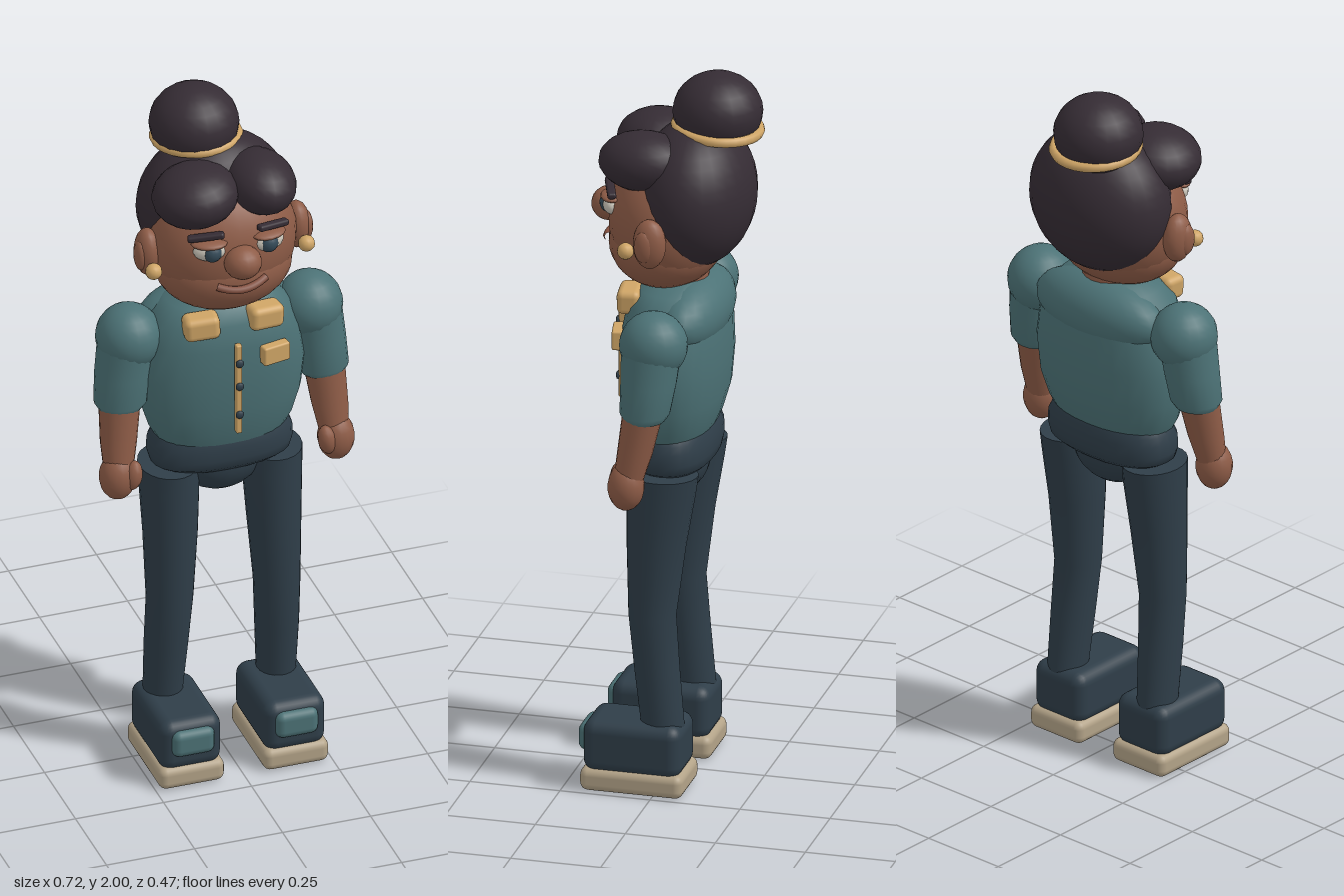
import * as THREE from 'three';
import { RoundedBoxGeometry } from 'three/addons/geometries/RoundedBoxGeometry.js';

const material = (name, color) => {
  const m = new THREE.MeshStandardMaterial({ color });
  m.name = name;
  return m;
};

// Closed smooth body through ascending superellipse rings [y, cx, cz, rx, rz], with flat caps
function loft(rings, n = 2, seg = 24) {
  const pos = [], index = [];
  const addRing = ([y, cx, cz, rx, rz]) => {
    const start = pos.length / 3;
    for (let i = 0; i < seg; i++) {
      const a = (i / seg) * Math.PI * 2, c = Math.cos(a), s = Math.sin(a);
      pos.push(cx + rx * Math.sign(c) * Math.abs(c) ** (2 / n), y, cz + rz * Math.sign(s) * Math.abs(s) ** (2 / n));
    }
    return start;
  };
  const starts = rings.map(addRing);
  for (let r = 0; r + 1 < starts.length; r++) {
    for (let i = 0; i < seg; i++) {
      const j = (i + 1) % seg, a = starts[r], b = starts[r + 1];
      index.push(a + i, b + i, a + j, b + i, b + j, a + j);
    }
  }
  for (const [ring, top] of [[rings[0], false], [rings[rings.length - 1], true]]) {
    const s = addRing(ring), centre = pos.length / 3;
    pos.push(ring[1], ring[0], ring[2]);
    for (let i = 0; i < seg; i++) {
      const j = (i + 1) % seg;
      if (top) index.push(centre, s + j, s + i);
      else index.push(centre, s + i, s + j);
    }
  }
  const g = new THREE.BufferGeometry();
  g.setAttribute('position', new THREE.Float32BufferAttribute(pos, 3));
  g.setIndex(index);
  g.computeVertexNormals();
  return g;
}

export function createModel() {
  const group = new THREE.Group();
  group.name = 'standingFigure';

  const skin = material('skin', 0x8e5c47);
  const lip = material('lip', 0x834f3e);
  const hair = material('hair', 0x352c34);
  const shirt = material('teal shirt', 0x4c7276);
  const navy = material('navy cloth', 0x2f3e49);
  const gold = material('gold', 0xcfa566);
  const rubber = material('sole rubber', 0xb3a388);
  const eyeWhite = material('eye white', 0xc9c4b8);
  const iris = material('iris', 0x344a58);

  const add = (name, geo, mat, p = [0, 0, 0], rot = [0, 0, 0]) => {
    const m = new THREE.Mesh(geo, mat);
    m.name = name;
    m.position.set(...p);
    m.rotation.set(...rot);
    group.add(m);
    return m;
  };
  const ball = (name, mat, p, r, rot, seg = 20) => {
    const m = add(name, new THREE.SphereGeometry(1, seg, Math.round(seg * 0.7)), mat, p, rot);
    m.scale.set(...r);
    return m;
  };
  const box = (name, mat, size, p, radius, rot) =>
    add(name, new RoundedBoxGeometry(...size, 3, radius), mat, p, rot);

  // Head and neck
  ball('head', skin, [0, 1.6, 0.01], [0.205, 0.2, 0.165], undefined, 28);
  ball('jaw', skin, [0, 1.53, 0.02], [0.19, 0.13, 0.155], undefined, 28);
  add('neck', new THREE.CylinderGeometry(0.08, 0.09, 0.1, 20), skin, [0, 1.42, -0.01]);
  ball('nose', skin, [0, 1.61, 0.18], [0.052, 0.047, 0.05], undefined, 16);
  const mouth = new THREE.QuadraticBezierCurve3(
    new THREE.Vector3(-0.068, 1.538, 0.166),
    new THREE.Vector3(0, 1.512, 0.2),
    new THREE.Vector3(0.07, 1.541, 0.164));
  add('mouth', new THREE.TubeGeometry(mouth, 14, 0.011, 8), lip);

  // Hair: back cap, fringe lumps and bun with a gold band
  ball('hairBack', hair, [0, 1.67, -0.06], [0.213, 0.205, 0.162], undefined, 28);
  ball('fringeRight', hair, [-0.095, 1.775, 0.065], [0.118, 0.082, 0.118], [0, 0, 0.12]);
  ball('fringeLeft', hair, [0.09, 1.778, 0.06], [0.096, 0.08, 0.125], [0, 0, -0.12]);
  ball('bun', hair, [-0.037, 1.893, -0.11], [0.122, 0.107, 0.122]);
  add('bunBand', new THREE.TorusGeometry(0.113, 0.014, 8, 28), gold, [-0.03, 1.85, -0.112], [Math.PI / 2 - 0.08, 0, 0]);

  // Shirt body with a back yoke
  add('shirtBody', loft([
    [0.99, 0, -0.005, 0.18, 0.1], [1.03, 0, -0.007, 0.202, 0.115], [1.1, 0, -0.01, 0.224, 0.132],
    [1.2, 0, -0.01, 0.235, 0.14], [1.3, 0, -0.01, 0.22, 0.138], [1.37, 0, -0.01, 0.19, 0.125],
    [1.41, 0, -0.015, 0.15, 0.1], [1.43, 0, -0.02, 0.09, 0.065],
  ], 2.3, 28), shirt);
  ball('shirtYoke', shirt, [0, 1.335, -0.06], [0.215, 0.1, 0.095], undefined, 24);

  // Placket, buttons and pocket
  box('placket', gold, [0.017, 0.275, 0.02], [0, 1.192, 0.144], 0.004);
  for (const y of [1.275, 1.203, 1.115]) ball('button', navy, [0, y, 0.156], [0.012, 0.012, 0.007], undefined, 10);
  box('pocket', gold, [0.08, 0.055, 0.03], [0.11, 1.273, 0.127], 0.006, [0, 0.2, 0]);

  // Trouser waist and crotch
  add('waistband', loft([
    [0.9, 0, -0.01, 0.17, 0.09], [0.915, 0, -0.01, 0.195, 0.105], [0.94, 0, -0.01, 0.202, 0.11],
    [0.975, 0, -0.01, 0.2, 0.11], [0.995, 0, -0.01, 0.19, 0.103], [1.01, 0, -0.01, 0.186, 0.1],
    [1.02, 0, -0.01, 0.175, 0.092],
  ], 2.4, 28), navy);
  ball('hips', navy, [0, 0.91, -0.008], [0.125, 0.108, 0.09]);

  // Paired parts
  for (const s of [1, -1]) {
    const side = s > 0 ? 'left' : 'right';

    // Face details
    ball(side + 'Ear', skin, [s * 0.212, 1.59, 0.012], [0.036, 0.07, 0.046], undefined, 16);
    ball(side + 'InnerEar', skin, [s * 0.235, 1.588, 0.022], [0.018, 0.045, 0.027], undefined, 14);
    ball(side + 'Earring', gold, [s * 0.217, 1.565, 0.077], [0.023, 0.023, 0.023], undefined, 12);
    ball(side + 'Eye', eyeWhite, [s * 0.085, 1.645, 0.15], [0.044, 0.028, 0.026], [0, s * 0.25, 0], 16);
    ball(side + 'Iris', iris, [s * 0.08, 1.645, 0.162], [0.026, 0.027, 0.024], undefined, 14);
    ball(side + 'Eyelid', skin, [s * 0.085, 1.668, 0.149], [0.05, 0.012, 0.033], [0, s * 0.25, 0], 14);
    box(side + 'Eyebrow', hair, [0.1, 0.018, 0.024], [s * 0.095, 1.692, 0.152], 0.007, [0, s * 0.35, -s * 0.15]);

    // Collar
    box(side + 'Collar', gold, [0.098, 0.068, 0.065], [s * 0.09, 1.38, 0.098], 0.018, [0, s * 0.12, -s * 0.05]);

    // Arm
    ball(side + 'Shoulder', shirt, [s * 0.257, 1.32, -0.012], [0.09, 0.092, 0.093]);
    add(side + 'Sleeve', loft([
      [1.115, s * 0.287, 0.004, 0.06, 0.055], [1.135, s * 0.286, 0.004, 0.073, 0.068],
      [1.22, s * 0.278, -0.004, 0.075, 0.076], [1.34, s * 0.262, -0.01, 0.078, 0.084],
    ], 2, 20), shirt);
    add(side + 'Forearm', loft([
      [0.94, s * 0.306, 0.045, 0.04, 0.04], [1.02, s * 0.3, 0.028, 0.05, 0.048],
      [1.15, s * 0.289, 0.006, 0.058, 0.056],
    ], 2, 18), skin);
    ball(side + 'Hand', skin, [s * 0.31, 0.925, 0.05], [0.051, 0.068, 0.05], undefined, 16);
    ball(side + 'Thumb', skin, [s * 0.275, 0.935, 0.077], [0.025, 0.043, 0.027], [0, 0, s * 0.15], 12);

    // Leg
    add(side + 'Leg', loft([
      [0.18, s * 0.161, -0.012, 0.053, 0.059], [0.35, s * 0.157, 0.006, 0.06, 0.062],
      [0.5, s * 0.152, 0.02, 0.064, 0.065], [0.7, s * 0.147, 0.01, 0.074, 0.081],
      [0.85, s * 0.146, -0.003, 0.081, 0.094], [0.905, s * 0.147, -0.007, 0.081, 0.098],
    ], 2, 22), navy);

    // Shoe
    box(side + 'Sole', rubber, [0.185, 0.066, 0.285], [s * 0.148, 0.033, 0.059], 0.022);
    box(side + 'Shoe', navy, [0.175, 0.15, 0.272], [s * 0.148, 0.126, 0.06], 0.035);
    box(side + 'ToePatch', shirt, [0.12, 0.078, 0.055], [s * 0.147, 0.14, 0.187], 0.022);
  }
  return group;
}
